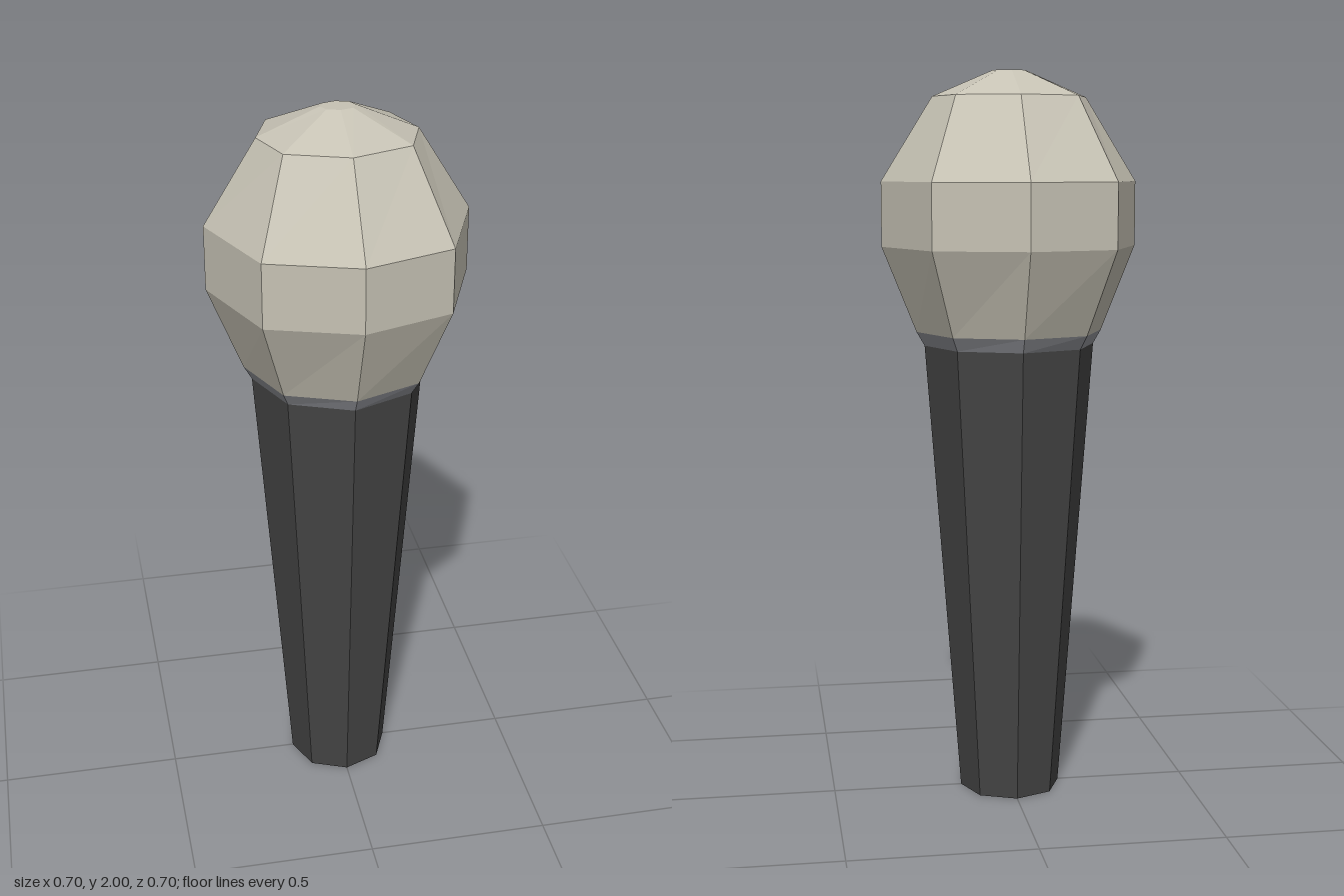
import * as THREE from 'three';

// Eight-sided ring: points on the x axis, the z axis and the four corners between
function ring([y, rx, rz, dx, dz]) {
  return [[rx, 0], [dx, dz], [0, rz], [-dx, dz], [-rx, 0], [-dx, -dz], [0, -rz], [dx, -dz]]
    .map(([x, z]) => [x, y, z]);
}

// Skin a stack of rings from bottom to top, optionally closing either end
function loft(name, color, sections, { capBottom = false, capTop = false } = {}) {
  const rings = sections.map(ring);
  const n = 8;
  const index = [];
  for (let i = 0; i < rings.length - 1; i++) {
    for (let j = 0; j < n; j++) {
      const a = i * n + j, b = i * n + (j + 1) % n;
      index.push(a, a + n, b, b, a + n, b + n);
    }
  }
  const top = (rings.length - 1) * n;
  for (let j = 1; j < n - 1; j++) {
    if (capBottom) index.push(0, j, j + 1);
    if (capTop) index.push(top, top + j + 1, top + j);
  }
  const indexed = new THREE.BufferGeometry();
  indexed.setAttribute('position', new THREE.Float32BufferAttribute(rings.flat(2), 3));
  indexed.setIndex(index);
  const geometry = indexed.toNonIndexed();
  geometry.computeVertexNormals();
  const mesh = new THREE.Mesh(geometry, new THREE.MeshStandardMaterial({ color, flatShading: true }));
  mesh.name = name;
  return mesh;
}

export function createModel() {
  const group = new THREE.Group();
  group.name = 'microphone';

  // Sections are [height, x radius, z radius, corner x, corner z]
  const handleTop = [1.26, 0.235, 0.235, 0.166, 0.166];
  const collarTop = [1.298, 0.257, 0.257, 0.18, 0.187];

  // Tapered handle
  group.add(loft('handle', 0x444444, [
    [0, 0.14, 0.14, 0.099, 0.099],
    handleTop,
  ], { capBottom: true }));

  // Narrow collar between handle and head
  group.add(loft('collar', 0x94969c, [handleTop, collarTop]));

  // Faceted head
  group.add(loft('head', 0xc6c2b4, [
    collarTop,
    [1.53, 0.35, 0.35, 0.243, 0.27],
    [1.705, 0.35, 0.35, 0.243, 0.27],
    [1.93, 0.21, 0.194, 0.163, 0.135],
    [2, 0.046, 0.038, 0.034, 0.027],
  ], { capTop: true }));

  return group;
}
